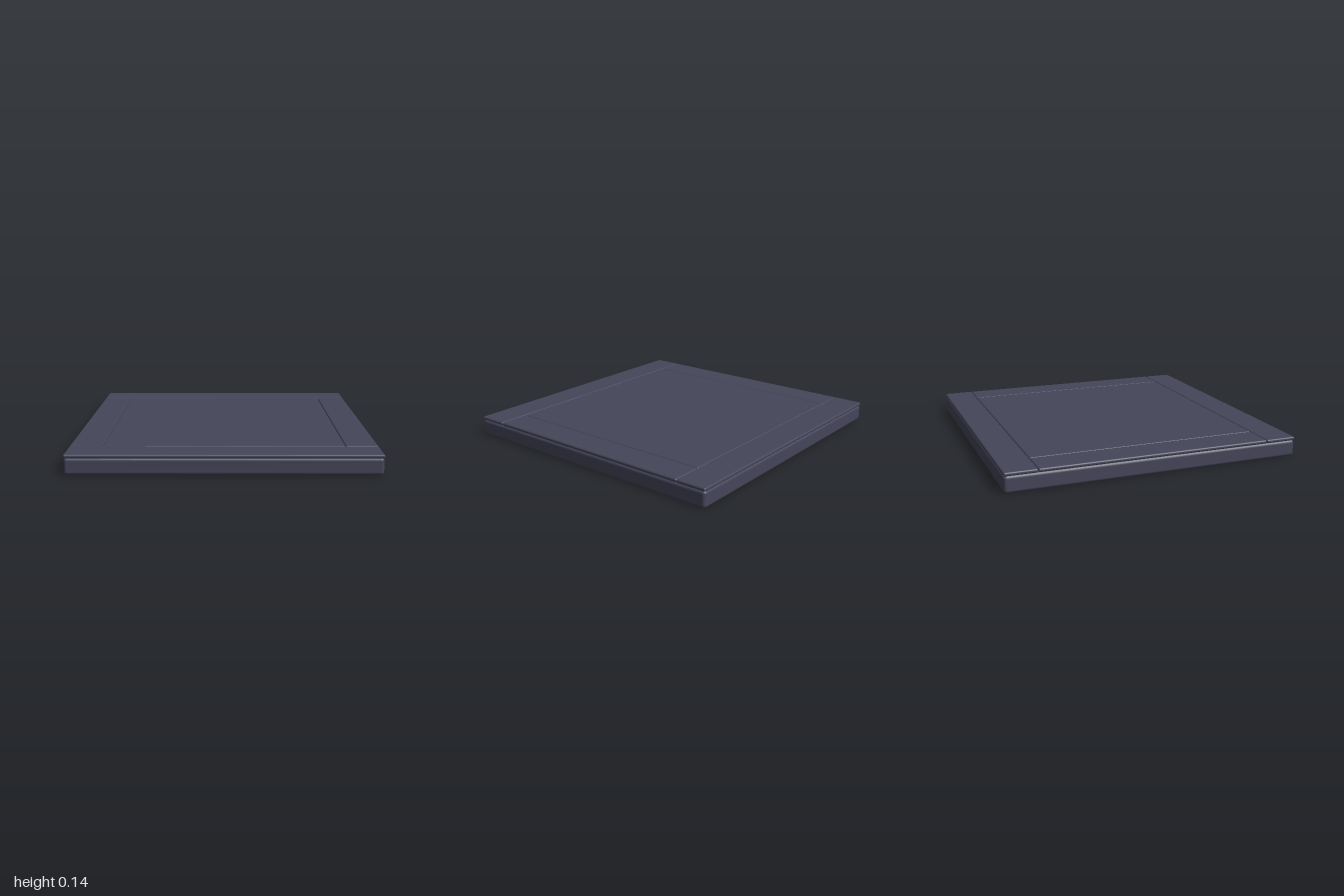
import * as THREE from 'three';
import { RoundedBoxGeometry } from 'three/addons/geometries/RoundedBoxGeometry.js';

export function createModel() {
  const model = new THREE.Group();
  model.name = 'floorTile';
  const material = new THREE.MeshStandardMaterial({ color: 0x45455a });

  // Rounded block with its underside at the given height
  function block(name, width, height, depth, radius, x, bottom, z) {
    const mesh = new THREE.Mesh(new RoundedBoxGeometry(width, height, depth, 4, radius), material);
    mesh.name = name;
    mesh.position.set(x, bottom + height / 2, z);
    model.add(mesh);
  }

  const seam = 0.786; // joint between border and centre
  const border = 1 - seam;
  const mid = (1 + seam) / 2;
  const base = 0.11;
  const thick = 0.025;
  const edge = 0.011;

  // Thick slab underneath
  block('baseSlab', 2, 0.114, 2, 0.022, 0, 0, 0);

  // Thin top layer: centre panel framed by four planks
  block('centrePanel', seam * 2, thick, seam * 2, edge, 0, base, 0);
  for (const side of [1, -1]) {
    block(side > 0 ? 'frontPlank' : 'backPlank', 2, thick, border, edge, 0, base, side * mid);
    block(side > 0 ? 'leftPlank' : 'rightPlank', border, thick, seam * 2, edge, side * mid, base, 0);
  }
  return model;
}
